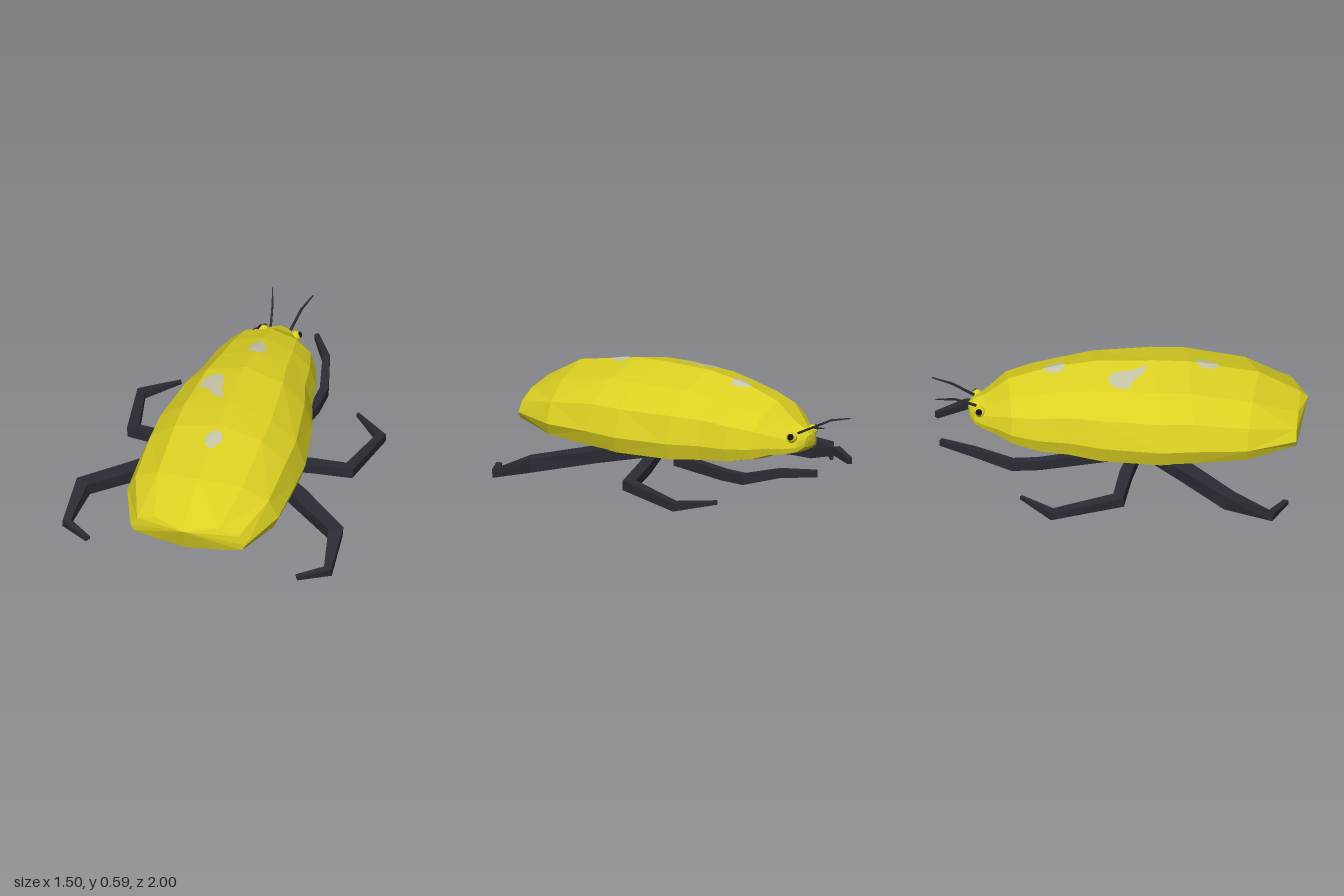
import * as THREE from 'three';

const mat = (name, color, extra = {}) => {
  const m = new THREE.MeshStandardMaterial({ color, flatShading: true, ...extra });
  m.name = name;
  return m;
};

// Skin closed rings of points; a ring collapsed to one point closes an end
function loft(rings) {
  const pos = [];
  const tri = (a, b, c) => {
    if (new THREE.Triangle(a, b, c).getArea() > 1e-8) pos.push(...a, ...b, ...c);
  };
  for (let s = 0; s < rings.length - 1; s++) {
    const n = rings[s].length;
    for (let i = 0; i < n; i++) {
      const j = (i + 1) % n;
      const a = rings[s][i], b = rings[s][j], c = rings[s + 1][i], d = rings[s + 1][j];
      // alternate the diagonals symmetrically for a faceted look
      if ((s + i + (i >= n / 2 ? 1 : 0)) % 2) { tri(a, b, c); tri(b, d, c); }
      else { tri(a, b, d); tri(a, d, c); }
    }
  }
  const g = new THREE.BufferGeometry();
  g.setAttribute('position', new THREE.Float32BufferAttribute(pos, 3));
  g.computeVertexNormals();
  return g;
}

// Four-sided limb through a list of joints, with [width, height] at each joint
function limb(joints, sizes) {
  const P = joints.map(p => new THREE.Vector3(...p));
  const up = new THREE.Vector3(0, 1, 0);
  const rings = P.map((p, i) => {
    const d0 = P[i].clone().sub(P[Math.max(i - 1, 0)]).normalize();
    const d1 = P[Math.min(i + 1, P.length - 1)].clone().sub(P[i]).normalize();
    const t = d0.clone().add(d1).normalize();
    const miter = i > 0 && i < P.length - 1 ? 1 / Math.max(t.dot(d1), 0.7) : 1;
    const side = t.clone().cross(up).normalize();
    const top = side.clone().cross(t);
    const [w, h] = sizes[i];
    return [[-1, 1], [1, 1], [1, -1], [-1, -1]].map(([a, b]) =>
      p.clone().addScaledVector(side, a * w * miter / 2).addScaledVector(top, b * h / 2));
  });
  const cap = p => Array(4).fill(p);
  return loft([cap(P[0]), ...rings, cap(P[P.length - 1])]);
}

// Half cross-section: fraction of half width, fraction of height
const PROFILE = [[0, 1], [0.56, 0.86], [0.88, 0.6], [1, 0.27], [0.94, 0.07], [0.55, 0.005], [0, 0]];

// z, half width, top y, bottom y, forward bow of the centre line
const SECTIONS = [
  [1.0, 0, 0.32, 0.32, 0],
  [0.91, 0.32, 0.355, 0.19, 0.05],
  [0.64, 0.42, 0.485, 0.16, 0.1],
  [0.36, 0.43, 0.57, 0.15, 0],
  [0.18, 0.43, 0.585, 0.145, 0],
  [-0.13, 0.375, 0.597, 0.155, 0],
  [-0.3, 0.32, 0.58, 0.175, 0],
  [-0.46, 0.295, 0.55, 0.195, 0],
  [-0.6, 0.25, 0.51, 0.23, 0],
  [-0.67, 0.19, 0.455, 0.258, 0],
  [-0.73, 0.135, 0.415, 0.265, 0],
  [-0.785, 0.09, 0.395, 0.28, 0],
  [-0.808, 0.045, 0.37, 0.305, 0],
  [-0.812, 0, 0.34, 0.34, 0],
];

function bodyGeometry() {
  const full = [...PROFILE, ...PROFILE.slice(1, -1).reverse().map(([x, y]) => [-x, y])];
  return loft(SECTIONS.map(([z, w, top, bottom, bow]) => full.map(([fx, fy]) =>
    new THREE.Vector3(fx * w, bottom + fy * (top - bottom), z + bow * (1 - Math.abs(fx))))));
}

// Thin patch laid over the back, from an outline in x and z
function patchGeometry(outline, body) {
  const ray = new THREE.Raycaster();
  const cx = outline.reduce((s, p) => s + p[0], 0) / outline.length;
  const cz = outline.reduce((s, p) => s + p[1], 0) / outline.length;
  const rings = [1, 0.75, 0.5, 0.25, 0].map(k => outline.map(([px, pz]) => {
    const x = cx + (px - cx) * k, z = cz + (pz - cz) * k;
    ray.set(new THREE.Vector3(x, 2, z), new THREE.Vector3(0, -1, 0));
    const hit = ray.intersectObject(body)[0];
    return new THREE.Vector3(x, (hit ? hit.point.y : 0.5) + 0.005, z);
  }));
  return loft(rings);
}

export function createModel() {
  const group = new THREE.Group();
  const yellow = mat('shell yellow', 0xdbd022);
  const dark = mat('leg charcoal', 0x2b2b34);
  const black = mat('eye black', 0x121016);
  const grey = mat('spot grey', 0xc6c5a6, { side: THREE.DoubleSide });
  const add = (name, geometry, material) => {
    const m = new THREE.Mesh(geometry, material);
    m.name = name;
    group.add(m);
    return m;
  };

  const body = add('body', bodyGeometry(), yellow);
  body.updateMatrixWorld();

  // Pale spots on the back
  const spots = [
    [[0, -0.42], [0.04, -0.38], [0.055, -0.32], [0.01, -0.295], [-0.045, -0.31], [-0.045, -0.37]],
    [[-0.14, -0.08], [-0.09, -0.05], [-0.075, 0.05], [-0.04, 0.14], [-0.09, 0.12], [-0.15, 0.06], [-0.205, 0.03], [-0.2, -0.04]],
    [[0, 0.4], [0.04, 0.41], [0.05, 0.46], [0.01, 0.53], [-0.035, 0.5], [-0.04, 0.43]],
  ];
  spots.forEach((s, i) => add('backSpot' + (i + 1), patchGeometry(s, body), grey));

  // Legs, eyes and feelers, mirrored left and right
  const legs = {
    rearLeg: {
      joints: [[0.2, 0.15, 0.13], [0.43, 0.145, 0.31], [0.7, 0.12, 0.52], [0.725, 0.03, 0.74], [0.58, 0.025, 0.835]],
      sizes: [[0.08, 0.06], [0.09, 0.07], [0.075, 0.075], [0.04, 0.045], [0.03, 0.02]],
    },
    middleLeg: {
      joints: [[0.2, 0.145, 0.07], [0.4, 0.12, -0.005], [0.6, 0.09, -0.06], [0.665, 0.06, -0.42], [0.49, 0.067, -0.57]],
      sizes: [[0.06, 0.05], [0.065, 0.055], [0.06, 0.055], [0.045, 0.045], [0.015, 0.02]],
    },
    frontLeg: {
      joints: [[0.2, 0.135, -0.07], [0.29, 0.15, -0.46], [0.295, 0.155, -0.6], [0.245, 0.215, -0.8], [0.14, 0.22, -0.97]],
      sizes: [[0.05, 0.06], [0.045, 0.055], [0.045, 0.055], [0.04, 0.045], [0.025, 0.035]],
    },
  };
  for (const [side, sx] of [['left', 1], ['right', -1]]) {
    const mirror = pts => pts.map(([x, y, z]) => [sx * x, y, z]);
    for (const [name, leg] of Object.entries(legs)) {
      add(`${side} ${name}`, limb(mirror(leg.joints), leg.sizes), dark);
    }
    const feeler = [[0.055, 0.385, -0.775], [0.08, 0.445, -0.89], [0.113, 0.468, -0.995]];
    add(`${side} feeler`, limb(mirror(feeler), [[0.012, 0.012], [0.01, 0.01], [0.005, 0.005]]), dark);

    const socket = add(`${side} eyeSocket`, new THREE.IcosahedronGeometry(0.03, 1), yellow);
    socket.position.set(sx * 0.088, 0.365, -0.757);
    const eye = add(`${side} eye`, new THREE.IcosahedronGeometry(0.019, 1), black);
    eye.position.set(sx * 0.104, 0.372, -0.762);
  }
  return group;
}
